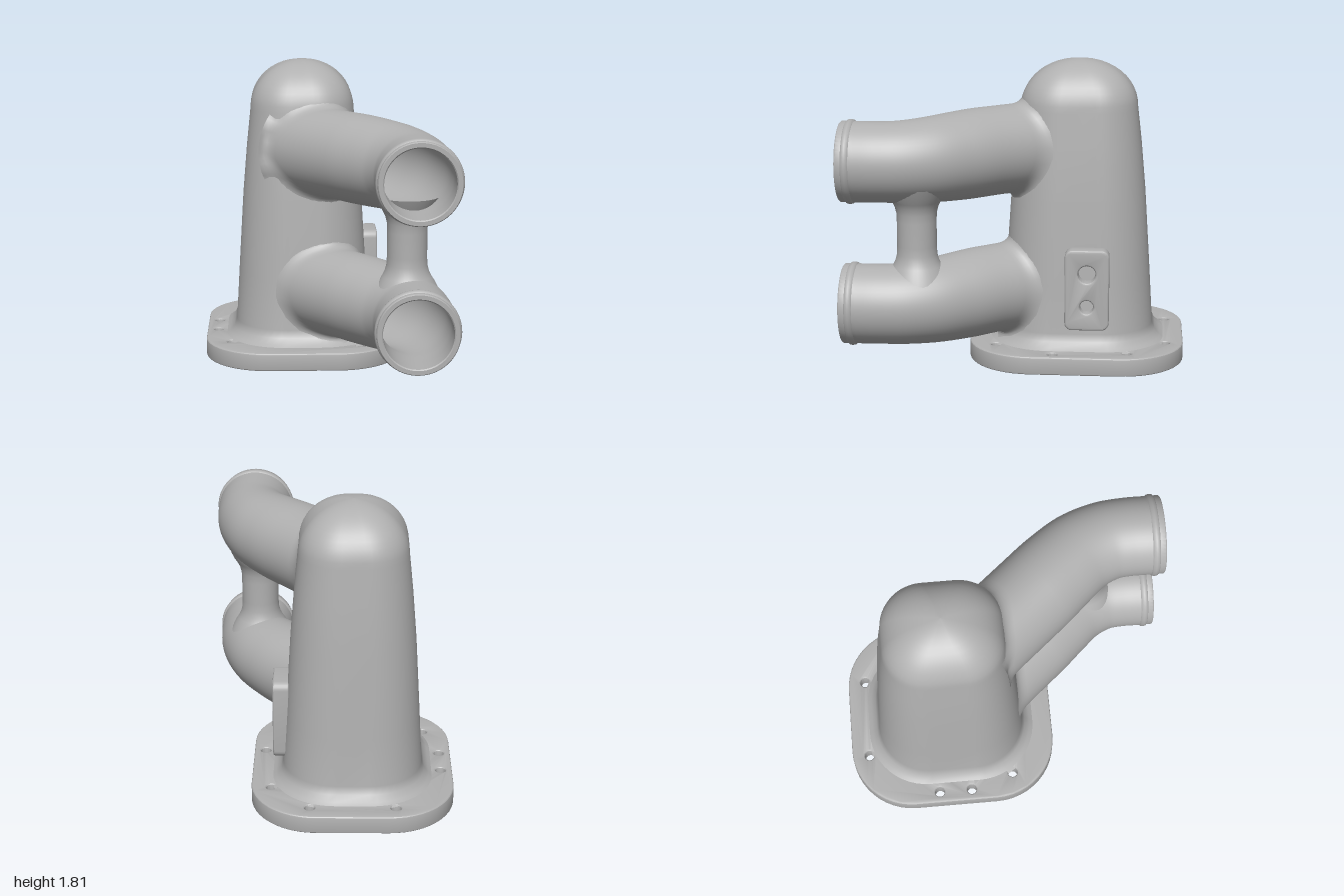
import * as THREE from 'three';
import { toCreasedNormals } from 'three/addons/utils/BufferGeometryUtils.js';

const CX = -0.14, CZ = -0.35;          // tower axis
const CORNER = 0.78, ASPECT = 1.115;   // tower section: corner ratio, depth / width

// Half width of the tower against height: foot fillet, tapered wall, dome
const profile = [[0.49, 0.1], [0.455, 0.122], [0.428, 0.155], [0.412, 0.2], [0.395, 0.5], [0.365, 1], [0.34, 1.3], [0.317, 1.52]];
for (let i = 1; i <= 12; i++) {
  const t = (i / 12) * Math.PI / 2;
  profile.push([Math.max(0.317 * Math.cos(t), 0.001), 1.52 + 0.29 * Math.sin(t)]);
}

function halfWidth(y) {
  for (let i = 1; i < profile.length; i++) {
    const [a0, y0] = profile[i - 1], [a1, y1] = profile[i];
    if (y <= y1) return a0 + (a1 - a0) * Math.max(0, (y - y0) / (y1 - y0));
  }
  return 0;
}

// Rounded rectangle as 2D points, counterclockwise
function roundedRect(a, b, r, cx = 0, cy = 0, steps = 12) {
  const pts = [];
  for (let k = 0; k < 4; k++) {
    const sx = k === 0 || k === 3 ? 1 : -1, sy = k < 2 ? 1 : -1;
    for (let i = 0; i <= steps; i++) {
      const t = (k + i / steps) * Math.PI / 2;
      pts.push(new THREE.Vector2(cx + sx * (a - r) + r * Math.cos(t), cy + sy * (b - r) + r * Math.sin(t)));
    }
  }
  return pts;
}

// Skin closed rings of equal length
function loft(rings) {
  const n = rings[0].length, pos = [], idx = [];
  rings.forEach(ring => ring.forEach(p => pos.push(p.x, p.y, p.z)));
  for (let i = 0; i < rings.length - 1; i++) for (let j = 0; j < n; j++) {
    const k = (j + 1) % n, a = i * n + j, b = i * n + k;
    idx.push(a, b, b + n, a, b + n, a + n);
  }
  const g = new THREE.BufferGeometry();
  g.setAttribute('position', new THREE.Float32BufferAttribute(pos, 3));
  g.setIndex(idx);
  g.computeVertexNormals();
  return g;
}

const towerRing = (a, y, b = a * ASPECT) =>
  roundedRect(a, b, a * CORNER).map(p => new THREE.Vector3(CX + p.x, y, CZ - p.y));

// Is a point inside the tower wall, shrunk by an inset
function insideTower(p, inset) {
  const a = halfWidth(p.y + inset) - inset;
  if (a <= 0.01) return false;
  const r = a * CORNER;
  const qx = Math.abs(p.x - CX) - (a - r), qz = Math.abs(p.z - CZ) - (a * ASPECT - r);
  return Math.hypot(Math.max(qx, 0), Math.max(qz, 0)) + Math.min(Math.max(qx, qz), 0) < r;
}

// Curved hollow pipe, filleted onto the tower, with a bead at the mouth
function pipeGeometry(y) {
  const N = 56, UP = new THREE.Vector3(0, 1, 0);
  const dir = new THREE.Vector3(0.645, 0, 0.764).normalize();
  const origin = new THREE.Vector3(0.1, y + 0.008, 0.125);
  const at = (c, t, r, th) => c.clone()
    .addScaledVector(new THREE.Vector3(t.z, 0, -t.x), r * Math.cos(th))
    .addScaledVector(UP, r * Math.sin(th));
  const ring = f => Array.from({ length: N }, (_, j) => f((j / N) * Math.PI * 2));
  const along = (s, r, th) => at(origin.clone().addScaledVector(dir, s), dir, r, th);
  const hit = (r, th, inset) => {
    let s = 0.3;
    while (s > -0.4 && !insideTower(along(s, r, th), inset)) s -= 0.004;
    return s;
  };
  const rings = [];
  // fillet from the tower surface onto the pipe
  for (let i = 0; i <= 6; i++) {
    const t = i / 6, w0 = (1 - t) ** 2, w1 = 2 * t * (1 - t), w2 = t * t;
    rings.push(ring(th => {
      const sOut = hit(0.325, th, 0.004), sIn = hit(0.265, th, 0);
      return along(w0 * sOut + w1 * sIn + w2 * Math.min(sIn + 0.08, 0.1), w0 * 0.325 + (w1 + w2) * 0.265, th);
    }));
  }
  const curve = new THREE.CatmullRomCurve3([[0.177, 0.217], [0.3, 0.358], [0.41, 0.505], [0.472, 0.66], [0.487, 0.79], [0.487, 0.9]]
    .map(([x, z], i) => new THREE.Vector3(x, y + 0.008 * Math.max(0, 1 - i / 3), z)));
  const bend = (u, wall) => {
    const c = curve.getPoint(u), t = curve.getTangent(u).setY(0).normalize();
    const r = 0.235 + 0.03 * (1 - THREE.MathUtils.smoothstep(u, 0, 0.75)) - wall;
    return ring(th => at(c, t, r, th));
  };
  const STEPS = 28;
  for (let i = 0; i <= STEPS; i++) rings.push(bend(i / STEPS, 0));
  // bead and rim
  const Z = new THREE.Vector3(0, 0, 1);
  for (const [r, z] of [[0.235, 0.92], [0.243, 0.927], [0.246, 0.942], [0.243, 0.957], [0.235, 0.964], [0.235, 0.994], [0.23, 1], [0.206, 1], [0.2, 0.994]])
    rings.push(ring(th => at(new THREE.Vector3(0.487, y, z), Z, r, th)));
  // bore, back to the inner wall of the tower
  for (let i = STEPS; i >= 0; i--) rings.push(bend(i / STEPS, 0.035));
  rings.push(ring(th => along(hit(0.23, th, 0.045), 0.23, th)));
  return toCreasedNormals(loft(rings), 0.7);
}

function plate(outline, holes, depth, bevel) {
  const shape = new THREE.Shape(outline);
  holes.forEach(h => shape.holes.push(new THREE.Path(h)));
  return new THREE.ExtrudeGeometry(shape, {
    depth: depth - 2 * bevel, bevelThickness: bevel, bevelSize: bevel, bevelOffset: -bevel, bevelSegments: 3, curveSegments: 24,
  }).translate(0, 0, bevel);
}

const circle = (x, y, r) => new THREE.Path().absarc(x, y, r, 0, Math.PI * 2).getPoints(24).slice(0, -1);

export function createModel() {
  const model = new THREE.Group();
  const castGrey = new THREE.MeshStandardMaterial({ color: 0xb0b0b0 });
  castGrey.name = 'castGrey';
  const add = (name, geometry) => {
    const mesh = new THREE.Mesh(geometry, castGrey);
    mesh.name = name;
    model.add(mesh);
    return mesh;
  };

  // Base flange with bolt holes and the open bottom of the tower
  const bolts = [[-0.39, -0.89], [0.11, -0.89], [0.34, -0.66], [0.39, -0.22], [0.21, 0.13], [-0.67, -0.455], [-0.67, -0.25], [-0.58, 0.02]];
  const flange = plate(
    roundedRect(0.6, 0.65, 0.39, CX, -CZ),
    [roundedRect(0.375, 0.42, 0.295, CX, -CZ), ...bolts.map(([x, z]) => circle(x, -z, 0.03))],
    0.11, 0.012);
  add('flange', toCreasedNormals(flange.rotateX(-Math.PI / 2), 0.5));

  // Tower: outer skin and hollow inside
  add('tower', loft(profile.map(([a, y]) => towerRing(a, y))));
  const inner = profile.filter(([a, y]) => y > 0.19 && a > 0.06).map(([a, y]) => towerRing(a - 0.045, y - 0.04));
  inner.unshift(towerRing(0.372, 0.02, 0.418));
  inner.push(towerRing(0.001, 1.765));
  add('towerInside', loft(inner.reverse()));

  // Two pipes, one above the other
  add('upperPipe', pipeGeometry(1.277));
  add('lowerPipe', pipeGeometry(0.428));

  // Strut between the pipes, flared at both ends
  const half = [[0.19, 0.57], [0.165, 0.625], [0.143, 0.66], [0.128, 0.69], [0.118, 0.73], [0.116, 0.78]];
  const strut = [...half, ...half.map(([r, y]) => [r, 1.705 - y]).reverse()].map(([r, y]) => new THREE.Vector2(r, y));
  add('strut', new THREE.LatheGeometry(strut, 40)).position.set(0.45, 0, 0.57);

  // Mounting pad with two holes on the side
  const pad = plate(
    roundedRect(0.132, 0.245, 0.045, 0.419, 0.485, 6),
    [circle(0.419, 0.583, 0.052), circle(0.419, 0.383, 0.04)], 0.1, 0.014);
  add('mountingPad', toCreasedNormals(pad.rotateY(Math.PI / 2), 0.5)).position.x = 0.232;

  return model;
}
